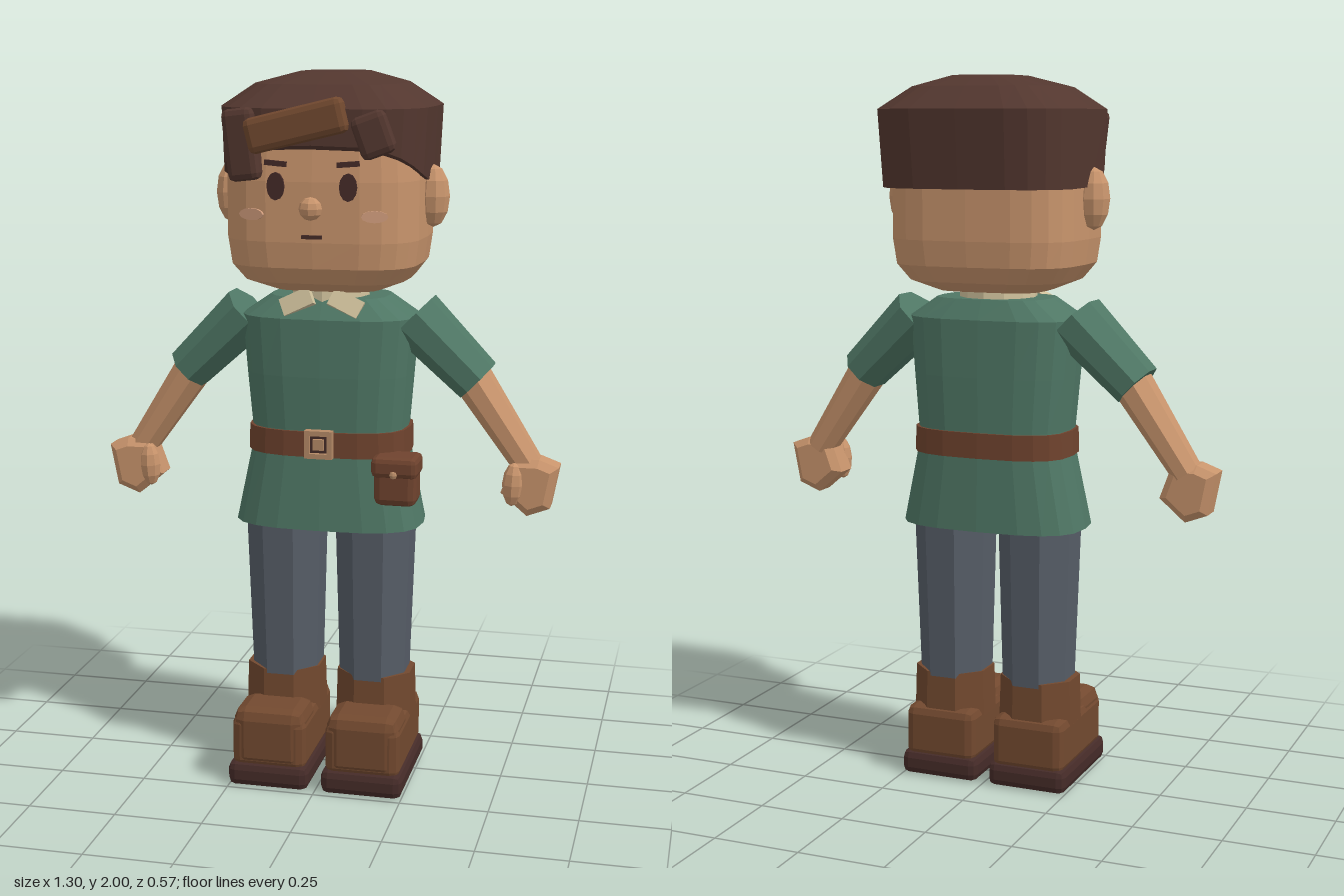
import * as THREE from 'three';
import { RoundedBoxGeometry } from 'three/addons/geometries/RoundedBoxGeometry.js';

const mat = (name, color) => {
  const m = new THREE.MeshStandardMaterial({ color, flatShading: true });
  m.name = name;
  return m;
};

// Closed stack of super-ellipse rings [y or y(x,z), rx, rz, centreZ], bottom to top
function loft(rings, seg, n) {
  const pos = [], idx = [];
  const power = (v) => Math.sign(v) * Math.abs(v) ** (2 / n);
  const yAt = (y, x, z) => (typeof y === 'function' ? y(x, z) : y);
  rings.forEach(([y, rx, rz, cz]) => {
    for (let i = 0; i < seg; i++) {
      const a = (i / seg) * Math.PI * 2;
      const x = rx * power(Math.sin(a)), z = cz + rz * power(Math.cos(a));
      pos.push(x, yAt(y, x, z), z);
    }
  });
  for (let r = 0; r < rings.length - 1; r++) {
    for (let i = 0; i < seg; i++) {
      const a = r * seg + i, b = r * seg + (i + 1) % seg;
      idx.push(a, b, b + seg, a, b + seg, a + seg);
    }
  }
  const last = (rings.length - 1) * seg, c = rings.length * seg;
  [rings[0], rings[rings.length - 1]].forEach(([y, , , cz]) => pos.push(0, yAt(y, 0, cz), cz));
  for (let i = 0; i < seg; i++) {
    const j = (i + 1) % seg;
    idx.push(c, j, i, c + 1, last + i, last + j);
  }
  const g = new THREE.BufferGeometry();
  g.setAttribute('position', new THREE.Float32BufferAttribute(pos, 3));
  g.setIndex(idx);
  g.computeVertexNormals();
  return g;
}

// Eight-sided tapered limb between two points in the xy plane, stretched in z
function limb(from, to, r0, r1, zScale) {
  const dx = to[0] - from[0], dy = to[1] - from[1];
  const g = new THREE.CylinderGeometry(r0, r1, Math.hypot(dx, dy), 8);
  g.rotateY(Math.PI / 8).scale(1, 1, zScale);
  g.rotateZ(Math.atan2(-dx, dy) + Math.PI);
  return g.translate((from[0] + to[0]) / 2, (from[1] + to[1]) / 2, 0.007);
}

const rbox = (w, h, d, r = 0.015) => new RoundedBoxGeometry(w, h, d, 1, r);
const ball = (rx, ry, rz, w = 10, h = 6) => new THREE.SphereGeometry(1, w, h).scale(rx, ry, rz);
const disc = (rx, ry) => new THREE.CylinderGeometry(1, 1, 0.008, 12).rotateX(Math.PI / 2).scale(rx, ry, 1);

export function createModel() {
  const skin = mat('skin', 0xc8946c), hair = mat('hair', 0x53372f), shirt = mat('shirt', 0x4f7765);
  const trousers = mat('trousers', 0x565d67), leather = mat('bootLeather', 0x72492f);
  const dark = mat('darkBrown', 0x452b28), belt = mat('beltLeather', 0x6f432e);
  const cream = mat('collarCream', 0xcfc19c), blush = mat('blush', 0xd09c7c), tan = mat('buckleTan', 0xb58a66);

  const model = new THREE.Group();
  model.name = 'figure';
  const add = (name, geo, material, p = [0, 0, 0], r = [0, 0, 0]) => {
    const m = new THREE.Mesh(geo, material);
    m.name = name;
    m.position.set(...p);
    m.rotation.set(...r);
    model.add(m);
    return m;
  };

  // Head and neck
  add('head', loft([
    [1.415, 0.15, 0.12, 0.005], [1.445, 0.225, 0.19, 0.008], [1.49, 0.26, 0.222, 0.01],
    [1.56, 0.27, 0.23, 0.01], [1.72, 0.27, 0.23, 0.01], [1.82, 0.262, 0.222, 0.008], [1.9, 0.22, 0.19, 0]
  ], 24, 3.6), skin);
  add('neck', new THREE.CylinderGeometry(0.09, 0.1, 0.1, 12), skin, [0, 1.4, 0.01]);

  // Hair cap with a hairline that rises towards the face
  const hairline = (x, z) => 1.7 + 1.3 * Math.max(0, z + 0.05) ** 2;
  add('hairCap', loft([
    [hairline, 0.2, 0.17, 0], [hairline, 0.28, 0.258, -0.01], [1.91, 0.288, 0.268, -0.02],
    [1.97, 0.2, 0.2, -0.02], [2.0, 0.09, 0.11, -0.04]
  ], 24, 3.6), hair);
  add('sideLock', rbox(0.09, 0.19, 0.06, 0.018), hair, [-0.19, 1.815, 0.232], [0, -0.1, 0.12]);
  add('fringeLock', rbox(0.275, 0.095, 0.06, 0.018), leather, [-0.04, 1.867, 0.248], [0, 0, 0.24]);
  add('smallLock', rbox(0.095, 0.115, 0.06, 0.018), hair, [0.165, 1.845, 0.238], [0, 0.1, 0.35]);

  // Face
  const faceZ = (x) => 0.012 + 0.23 * (1 - Math.abs(x / 0.27) ** 3.6) ** (1 / 3.6);
  for (const s of [1, -1]) {
    add('ear', ball(0.045, 0.085, 0.048), skin, [s * 0.284, 1.67, 0.007]);
    add('eye', disc(0.024, 0.037), dark, [s * 0.098, 1.708, faceZ(0.098)], [0, s * 0.05, 0]);
    add('eyebrow', new THREE.BoxGeometry(0.06, 0.014, 0.009), dark,
      [s * 0.098, 1.768, faceZ(0.098)], [0, s * 0.05, s * 0.08]);
    add('cheek', disc(0.036, 0.016), blush, [s * 0.167, 1.632, faceZ(0.167)], [0, s * 0.25, 0]);
  }
  add('nose', ball(0.032, 0.031, 0.028, 8, 6), skin, [0, 1.652, 0.256]);
  add('mouth', new THREE.BoxGeometry(0.054, 0.01, 0.009), dark, [0, 1.576, 0.242]);

  // Tunic
  add('tunic', loft([
    [0.75, 0.267, 0.158, 0.008], [0.96, 0.223, 0.145, 0.004], [1.03, 0.22, 0.143, 0.004],
    [1.18, 0.233, 0.147, 0.007], [1.34, 0.246, 0.146, 0.008], [1.395, 0.165, 0.115, 0.005]
  ], 20, 3), shirt);
  add('collarBand', new THREE.CylinderGeometry(0.108, 0.112, 0.05, 12), cream, [0, 1.392, 0.015]);
  for (const s of [1, -1]) {
    add('collarFlap', new THREE.BoxGeometry(0.09, 0.05, 0.022), cream,
      [s * 0.068, 1.385, 0.13], [-0.35, s * 0.15, s * -0.42]);
  }

  // Belt, buckle and pouch
  add('belt', loft([[0.957, 0.23, 0.151, 0.004], [1.028, 0.228, 0.15, 0.004]], 20, 3), belt);
  const frame = new THREE.Shape([[-1, -1], [1, -1], [1, 1], [-1, 1]].map(([x, y]) => new THREE.Vector2(x * 0.039, y * 0.039)));
  frame.holes.push(new THREE.Path([[-1, -1], [-1, 1], [1, 1], [1, -1]].map(([x, y]) => new THREE.Vector2(x * 0.025, y * 0.025))));
  add('buckleFrame', new THREE.ExtrudeGeometry(frame, { depth: 0.025, bevelEnabled: false }), tan, [0, 0.997, 0.152]);
  add('buckleBack', new THREE.BoxGeometry(0.056, 0.056, 0.012), dark, [0, 0.997, 0.157]);
  add('bucklePin', new THREE.BoxGeometry(0.03, 0.03, 0.02), tan, [0, 0.997, 0.165]);
  add('pouch', rbox(0.118, 0.13, 0.095, 0.02), belt, [0.214, 0.9, 0.135]);
  add('pouchFlap', rbox(0.128, 0.058, 0.11, 0.015), belt, [0.214, 0.945, 0.137]);
  add('pouchButton', ball(0.011, 0.011, 0.008, 8, 4), tan, [0.214, 0.928, 0.193]);

  for (const s of [1, -1]) {
    // Arm
    add('sleeve', limb([s * 0.235, 1.34], [s * 0.415, 1.165], 0.08, 0.067, 1.32), shirt);
    add('forearm', limb([s * 0.38, 1.2], [s * 0.562, 0.93], 0.057, 0.042, 1.28), skin);
    const outline = [[0.625, 0.925], [0.608, 0.836], [0.566, 0.82], [0.512, 0.866], [0.538, 0.938], [0.59, 0.938]];
    const palm = new THREE.Shape(outline.map(([x, y]) => new THREE.Vector2(s * x, y)));
    add('hand', new THREE.ExtrudeGeometry(palm, {
      depth: 0.062, bevelEnabled: true, bevelThickness: 0.02, bevelSize: 0.02, bevelSegments: 1
    }), skin, [0, 0, -0.014]);
    add('thumb', ball(0.03, 0.062, 0.03, 8, 6), skin, [s * 0.524, 0.888, 0.06], [0, 0, s * -0.05]);

    // Leg
    add('trouserLeg', limb([s * 0.13, 0.79], [s * 0.128, 0.27], 0.117, 0.101, 1.1), trousers);

    // Boot
    add('bootShaft', limb([s * 0.133, 0.312], [s * 0.133, 0.18], 0.114, 0.118, 0.98), leather);
    add('bootFoot', rbox(0.214, 0.155, 0.345, 0.025), leather, [s * 0.135, 0.13, 0.06]);
    add('bootToe', rbox(0.208, 0.18, 0.165, 0.035), leather, [s * 0.135, 0.142, 0.153]);
    add('bootSole', rbox(0.234, 0.072, 0.364, 0.022), dark, [s * 0.135, 0.036, 0.062]);
  }
  return model;
}
